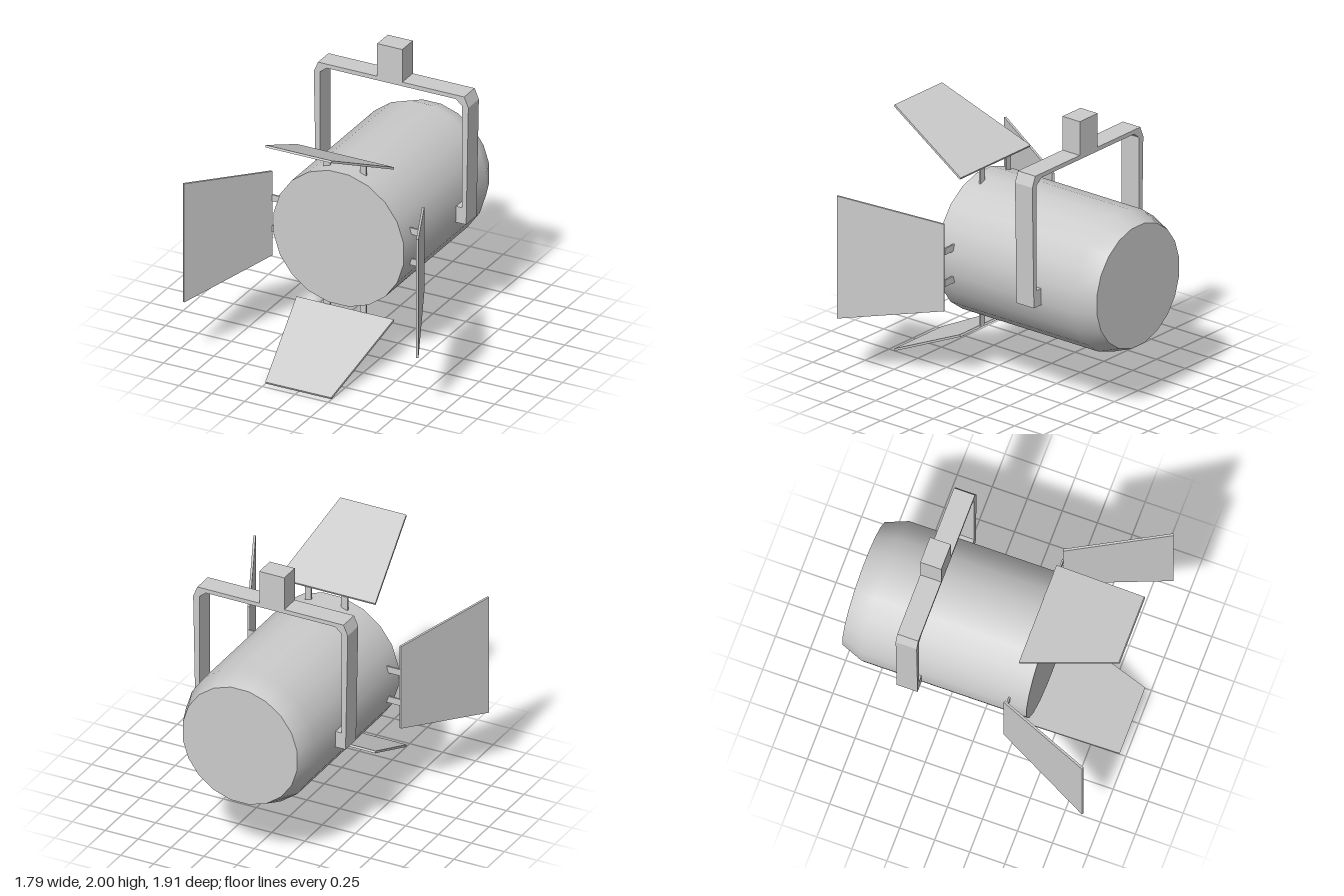
import * as THREE from 'three';

const AXIS_Y = 0.895; // height of the lamp's axis

export function createModel() {
  const model = new THREE.Group();
  const grey = new THREE.MeshStandardMaterial({ color: 0xcccccc });
  const add = (parent, name, geometry) => {
    const mesh = new THREE.Mesh(geometry, grey);
    mesh.name = name;
    parent.add(mesh);
    return mesh;
  };

  // Lamp housing: a 20-sided can with a tapered back, flat side up
  const sides = 20, half = Math.PI / sides;
  const backZ = -0.955, frontZ = 0.38, backR = 0.44, bodyR = 0.5;
  const housing = new THREE.Group();
  housing.name = 'housing';
  housing.position.y = AXIS_Y;
  model.add(housing);
  const profile = [[backR, backZ], [bodyR, -0.8], [bodyR, frontZ]];
  add(housing, 'can', new THREE.LatheGeometry(
    profile.map(([r, z]) => new THREE.Vector2(r, z)), sides, half).rotateX(Math.PI / 2));
  add(housing, 'frontLens', new THREE.CircleGeometry(bodyR, sides, half).translate(0, 0, frontZ));
  add(housing, 'backPlate', new THREE.CircleGeometry(backR, sides, half)
    .rotateY(Math.PI).translate(0, 0, backZ));

  // Yoke: one bent strap with chamfered corners and pivot blocks at the feet
  const yokeZ = -0.445, yokeDepth = 0.15;
  const rightHalf = [
    [0.49, 1.725], [0.54, 1.685], [0.54, 0.92], [0.485, 0.92],
    [0.485, 0.8], [0.57, 0.8], [0.587, 1.68], [0.555, 1.755],
  ];
  const leftHalf = rightHalf.map(([x, y]) => [-x, y]).reverse();
  const outline = [...rightHalf, ...leftHalf].map(([x, y]) => new THREE.Vector2(x, y));
  add(model, 'yoke', new THREE.ExtrudeGeometry(new THREE.Shape(outline),
    { depth: yokeDepth, bevelEnabled: false }).translate(0, 0, yokeZ - yokeDepth / 2));
  add(model, 'mountingPost', new THREE.BoxGeometry(0.19, 0.255, yokeDepth)
    .translate(-0.01, 1.8725, yokeZ));

  // Barn door: a slanted trapezoid on two tabs, built upward and turned about the axis
  const thickness = 0.016;
  function barnDoor(name, angle, hinge, tip) {
    const door = new THREE.Group();
    door.name = name;
    door.position.y = AXIS_Y;
    door.rotation.z = angle;
    const dr = tip.r - hinge.r, dz = tip.z - hinge.z, length = Math.hypot(dr, dz);
    const leaf = new THREE.Shape([
      new THREE.Vector2(-hinge.w, 0), new THREE.Vector2(hinge.w, 0),
      new THREE.Vector2(tip.w, length), new THREE.Vector2(-tip.w, length),
    ]);
    add(door, 'leaf', new THREE.ExtrudeGeometry(leaf, { depth: thickness, bevelEnabled: false })
      .translate(0, 0, -thickness / 2)
      .rotateX(Math.atan2(dz, dr))
      .translate(0, hinge.r, hinge.z));
    for (const x of [-0.138, 0.138]) {
      add(door, 'hingeTab', new THREE.BoxGeometry(0.048, hinge.r - 0.465, 0.012)
        .translate(x * (hinge.tab / 0.138), (hinge.r + 0.465) / 2, hinge.z));
    }
    model.add(door);
  }

  // Narrowing doors above and below, widening doors at the sides
  for (const [name, angle] of [['topDoor', 0], ['bottomDoor', Math.PI]]) {
    barnDoor(name, angle, { r: 0.57, z: 0.283, w: 0.37, tab: 0.138 }, { r: 0.888, z: 0.953, w: 0.25 });
  }
  for (const [name, angle] of [['leftDoor', -Math.PI / 2], ['rightDoor', Math.PI / 2]]) {
    barnDoor(name, angle, { r: 0.575, z: 0.252, w: 0.315, tab: 0.115 }, { r: 0.888, z: 0.925, w: 0.445 });
  }

  return model;
}
